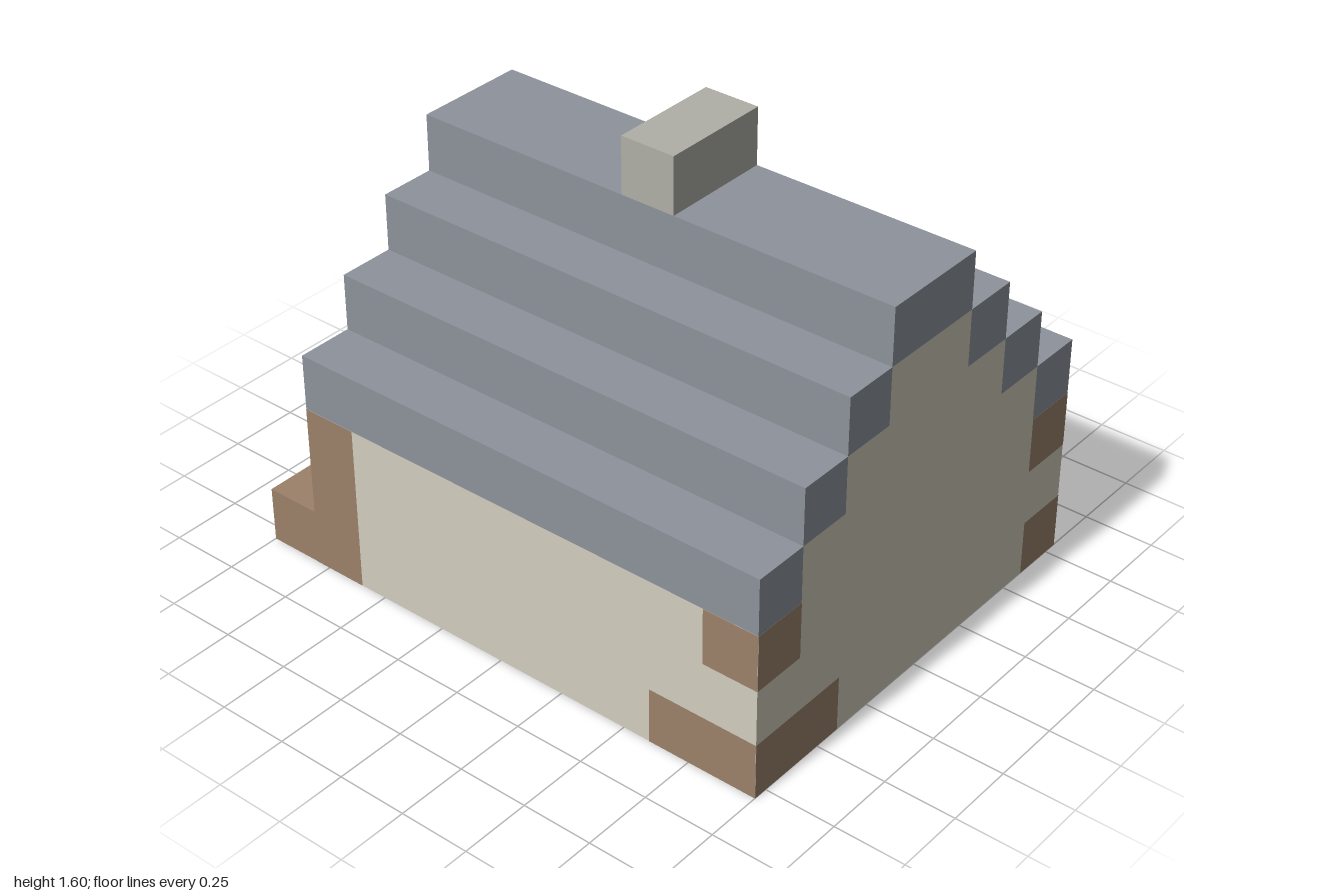
import * as THREE from 'three';

const material = (color) =>
  new THREE.MeshStandardMaterial({ color, flatShading: true, side: THREE.DoubleSide });
const roofMat = material(0x8d939c);
const wallMat = material(0xd2cdbe);
const timberMat = material(0x9b816a);
const ledgeMat = material(0xb4a28b);
const stoneMat = material(0xb0afa7);
const floorMat = material(0x806c5b);

const FRONT = 1, BACK = -0.8, SIDE = 0.8;
const IN_FRONT = 0.8, IN_BACK = -0.6, IN_SIDE = 0.6;
const vectors = (points) => points.map(([x, y]) => new THREE.Vector2(x, y));
const rect = (x0, x1, y0, y1) => [[x0, y0], [x1, y0], [x1, y1], [x0, y1]];
const mirrored = (points) => [...points, ...points.map(([x, y]) => [-x, y]).reverse()];

// Open sheet: a profile in x and y swept straight along z
function sheet(profile, z0, z1) {
  const positions = [];
  for (let i = 0; i + 1 < profile.length; i++) {
    const [a, b] = [profile[i], profile[i + 1]];
    positions.push(...a, z0, ...b, z0, ...b, z1, ...a, z0, ...b, z1, ...a, z1);
  }
  const geometry = new THREE.BufferGeometry();
  geometry.setAttribute('position', new THREE.Float32BufferAttribute(positions, 3));
  geometry.computeVertexNormals();
  return geometry;
}

export function createModel() {
  const house = new THREE.Group();
  house.name = 'house';

  const add = (name, geometry, mat) => {
    const mesh = new THREE.Mesh(geometry, mat);
    mesh.name = name;
    house.add(mesh);
    return mesh;
  };
  const panel = (name, mat, points, z) => {
    add(name, new THREE.ShapeGeometry(new THREE.Shape(vectors(points))), mat).position.z = z;
  };

  // Stepped edge of the gable below the roof, and of the roof above it
  const gableEdge = [[0.6, 0.6], [0.6, 0.8], [0.4, 0.8], [0.4, 1], [0.2, 1], [0.2, 1.2]];
  const roofEdge = [[0.8, 0.6], [0.8, 0.8], [0.6, 0.8], [0.6, 1], [0.4, 1], [0.4, 1.2], [0.2, 1.2], [0.2, 1.4]];

  // Outer wall faces; the back one starts above the ledge
  panel('frontWall', wallMat, mirrored([[0.8, 0], [0.8, 0.6], ...gableEdge]), FRONT);
  panel('backWall', wallMat, mirrored([[0.8, 0.2], [0.8, 0.6], ...gableEdge]), BACK);
  for (const s of [-1, 1]) {
    add('sideWall', sheet([[s * SIDE, 0], [s * SIDE, 0.6]], BACK, FRONT), wallMat);
    add('innerSideWall', sheet([[s * IN_SIDE, 0.2], [s * IN_SIDE, 0.6]], IN_BACK, IN_FRONT), wallMat);
  }

  // Inner wall faces and ceiling of the room
  for (const z of [IN_FRONT, IN_BACK]) {
    panel('innerEndWall', wallMat, mirrored([[IN_SIDE, 0.2], ...gableEdge]), z);
  }
  add('ceiling', sheet(mirrored(gableEdge), IN_BACK, IN_FRONT), roofMat);

  // Roof with its stepped ends
  add('roof', sheet(mirrored(roofEdge), BACK, FRONT), roofMat);
  for (const z of [FRONT, BACK]) {
    for (let i = 0; i < 3; i++) {
      const x = 0.8 - i * 0.2, y = 0.6 + i * 0.2;
      panel('roofEnd', roofMat, rect(x - 0.2, x, y, y + 0.2), z);
      panel('roofEnd', roofMat, rect(-x, 0.2 - x, y, y + 0.2), z);
    }
    panel('ridgeEnd', roofMat, rect(-0.2, 0.2, 1.2, 1.4), z);
  }

  // Timber patches lie just proud of both sides of a wall face
  const T = 0.001;
  const endTimber = (z, x0, x1, y0, y1) => {
    for (const d of [-T, T]) panel('endTimber', timberMat, rect(x0, x1, y0, y1), z + d);
  };
  const sideTimber = (x, z0, z1, y0, y1) => {
    for (const d of [-T, T]) add('sideTimber', sheet([[x + d, y0], [x + d, y1]], z0, z1), timberMat);
  };
  for (const s of [-1, 1]) {
    sideTimber(s * SIDE, 0.6, FRONT, 0, 0.2);
    sideTimber(s * SIDE, 0.8, FRONT, 0.4, 0.6);
    sideTimber(s * SIDE, BACK, -0.6, 0, 0.6);
    endTimber(FRONT, s * 0.7 - 0.1, s * 0.7 + 0.1, 0.4, 0.6);
    endTimber(BACK, s * 0.7 - 0.1, s * 0.7 + 0.1, 0.2, 0.6);
  }
  endTimber(FRONT, -0.8, -0.4, 0, 0.2);
  endTimber(FRONT, 0.6, 0.8, 0, 0.2);
  for (const z of [BACK, IN_BACK]) endTimber(z, -0.6, 0.4, 0.2, 0.4);

  // Hollow ledge along the back, with a timber end
  add('backLedge', sheet([[0.8, 0], [0.8, 0.2], [-0.6, 0.2]], -1, BACK), ledgeMat);
  panel('ledgeFace', ledgeMat, rect(-0.6, 0.8, 0, 0.2), -1);
  add('ledgeEnd', sheet([[-0.6, 0.2], [-0.8, 0.2], [-0.8, 0]], -1, BACK), timberMat);
  panel('ledgeEndFace', timberMat, rect(-0.8, -0.6, 0, 0.2), -1);

  // Floor of the room, open under the chimney (shape y becomes z)
  const floorShape = new THREE.Shape(vectors(rect(-IN_SIDE, IN_SIDE, IN_BACK, IN_FRONT)));
  floorShape.holes.push(new THREE.Path(vectors(rect(-0.2, 0.2, 0, 0.2))));
  const floor = add('floor', new THREE.ShapeGeometry(floorShape), floorMat);
  floor.rotation.x = Math.PI / 2;
  floor.position.y = 0.2;

  // Hollow chimney: a stack inside the room and a capped top above the ridge
  for (const x of [-0.2, 0.2]) add('chimneyStack', sheet([[x, 0.2], [x, 1.2]], 0, 0.2), stoneMat);
  add('chimneyTop', sheet(mirrored([[0.2, 1.4], [0.2, 1.6]]), 0, 0.2), stoneMat);
  for (const z of [0, 0.2]) {
    panel('chimneyStackFace', stoneMat, rect(-0.2, 0.2, 0.2, 1.2), z);
    panel('chimneyTopFace', stoneMat, rect(-0.2, 0.2, 1.4, 1.6), z);
  }

  return house;
}
